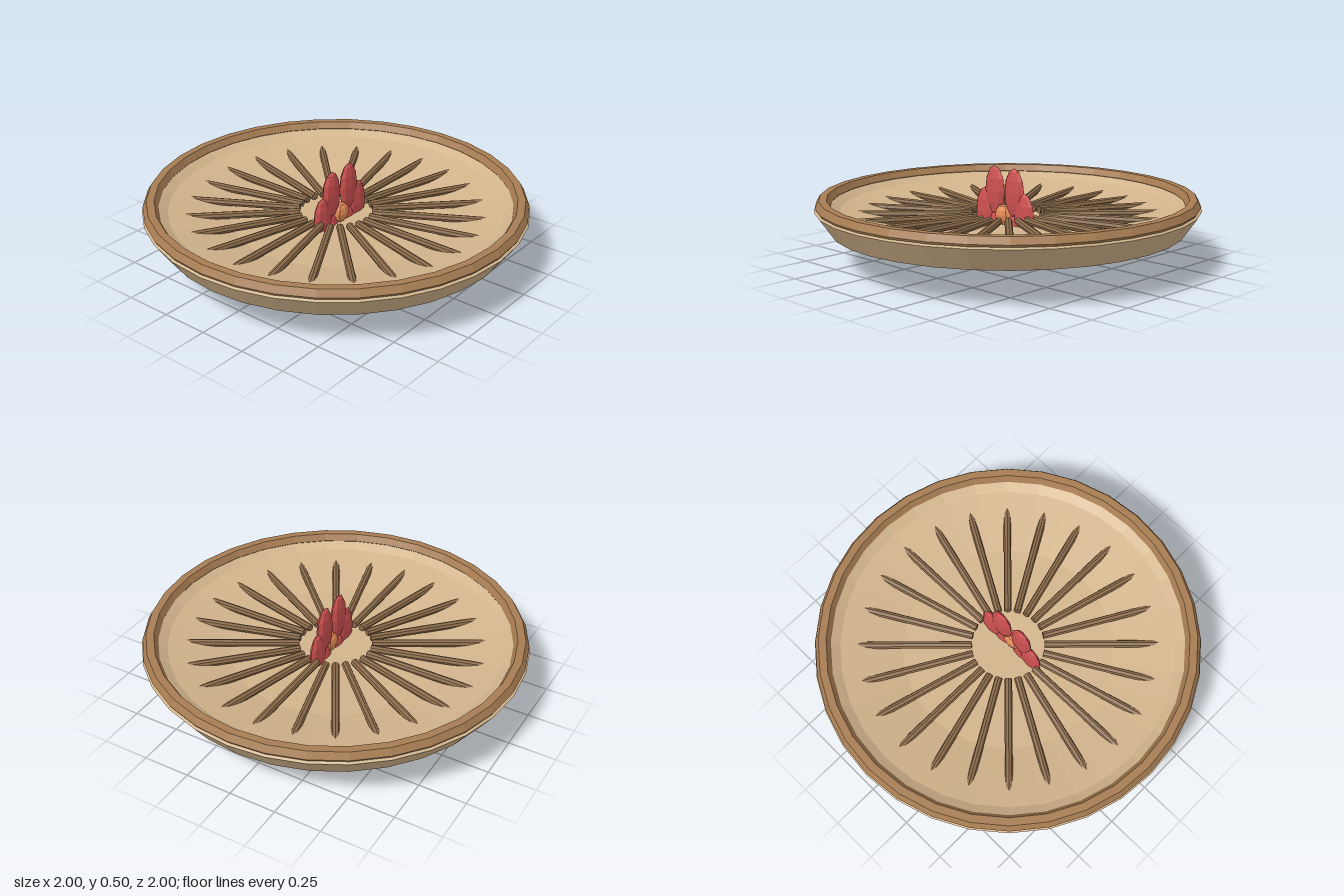
import * as THREE from 'three';

const SIDES = 32;

function material(color) {
  return new THREE.MeshStandardMaterial({ color, flatShading: true });
}

function addMesh(parent, name, geometry, mat) {
  const mesh = new THREE.Mesh(geometry, mat);
  mesh.name = name;
  parent.add(mesh);
  return mesh;
}

export function createModel() {
  const model = new THREE.Group();
  model.name = 'decoratedBowl';
  const tan = material(0xd2b48c);
  const brown = material(0xa67c52);
  const darkBrown = material(0x8b6b4a);
  const red = material(0xcd5050);
  const orange = material(0xe58a55);

  // Shallow bowl: underside, outer wall, lip, then inside back to the centre
  const profile = [
    [0, 0.1], [0.2, 0.103], [0.64, 0.127], [0.92, 0.185], [1, 0.3], [0.985, 0.31],
    [0.93, 0.325], [0.87, 0.288], [0.55, 0.22], [0, 0.2],
  ].map(([r, y]) => new THREE.Vector2(r, y));
  addMesh(model, 'bowl', new THREE.LatheGeometry(profile, SIDES), tan);

  // Rim ring with a six-sided section
  const rim = addMesh(model, 'rim', new THREE.TorusGeometry(0.955, 0.04, 6, SIDES), brown);
  rim.rotation.x = Math.PI / 2;
  rim.position.y = 0.32;

  // Level spokes whose outer ends sink into the rising floor
  const spokes = new THREE.Group();
  spokes.name = 'spokes';
  model.add(spokes);
  const spokeGeometry = new THREE.CylinderGeometry(0.02, 0.02, 0.59, 8);
  spokeGeometry.rotateZ(Math.PI / 2).translate(0.485, 0.25, 0);
  for (let i = 0; i < 24; i++) {
    addMesh(spokes, 'spoke', spokeGeometry, darkBrown).rotation.y = (i * Math.PI) / 12;
  }

  // Upright flower: six tall petals around a small centre
  const flower = new THREE.Group();
  flower.name = 'flower';
  flower.position.set(0, 0.25, 0.025);
  model.add(flower);
  const petalGeometry = new THREE.SphereGeometry(1, 8, 6).scale(0.07, 0.13, 0.027);
  for (let i = 0; i < 6; i++) {
    const a = (i * Math.PI) / 3;
    addMesh(flower, 'petal', petalGeometry, red)
      .position.set(0.14 * Math.cos(a), 0.14 * Math.sin(a), 0);
  }
  const heart = addMesh(flower, 'flowerCentre', new THREE.SphereGeometry(0.055, 8, 6), orange);
  heart.scale.z = 0.6;
  heart.position.z = 0.007;

  return model;
}
